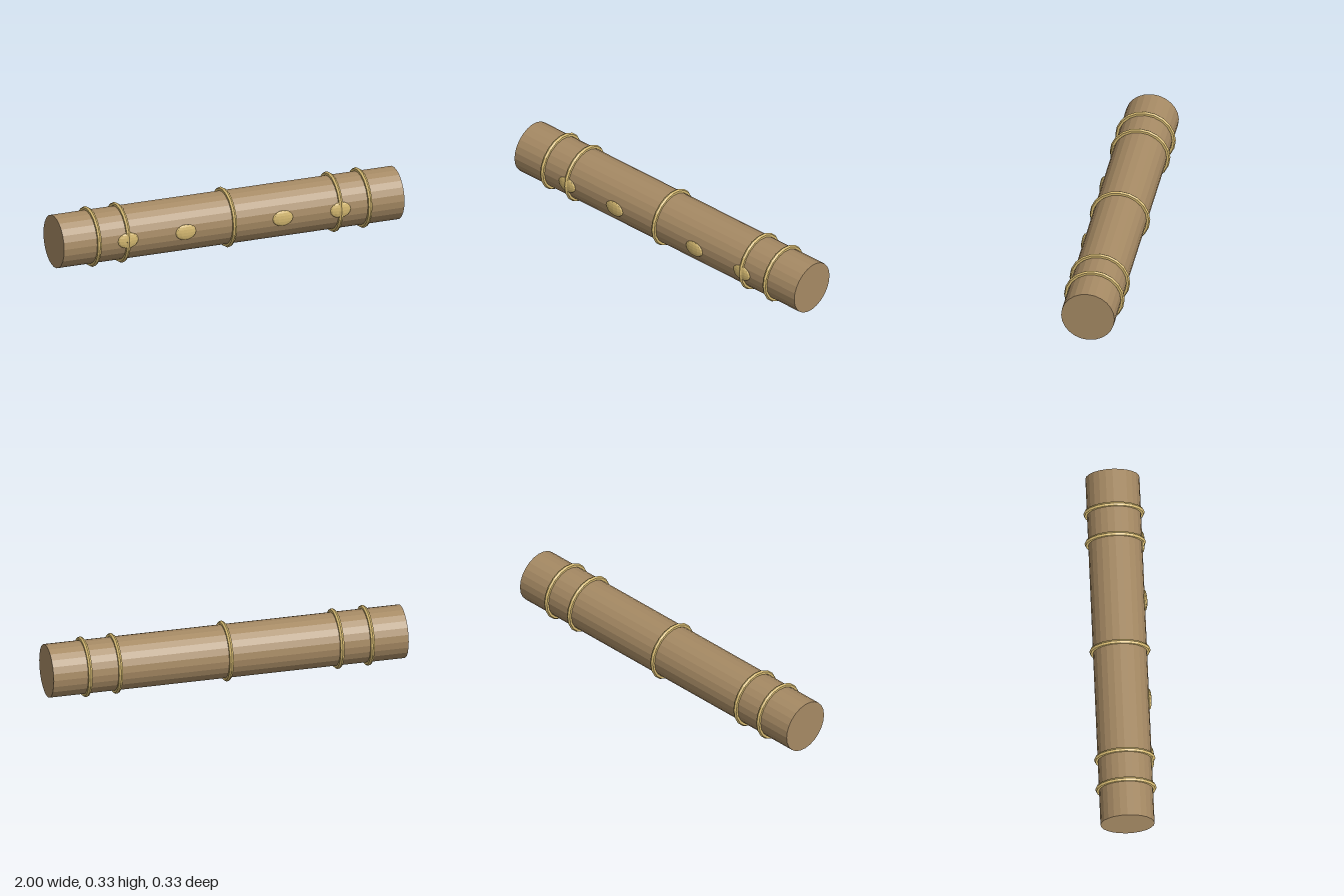
import * as THREE from 'three';

export function createModel() {
  const group = new THREE.Group();
  const wood = new THREE.MeshStandardMaterial({ color: 0xa68a64, flatShading: true });
  const gold = new THREE.MeshStandardMaterial({ color: 0xd4b870, flatShading: true });
  const axisY = 0.167;
  const radius = 0.147;

  const add = (name, geometry, material, x, y, z) => {
    const mesh = new THREE.Mesh(geometry, material);
    mesh.name = name;
    mesh.position.set(x, y, z);
    group.add(mesh);
  };

  // Long round body lying along x
  const body = new THREE.CylinderGeometry(radius, radius, 2, 24).rotateZ(Math.PI / 2);
  add('body', body, wood, 0, axisY, 0);

  // Thin bands around the body, with a corner at the top
  const band = new THREE.TorusGeometry(0.1545, 0.0125, 6, 20).rotateY(Math.PI / 2);
  for (const x of [-0.795, -0.624, 0, 0.624, 0.795]) add('band', band, gold, x, axisY, 0);

  // Flattened oval studs along the front
  const stud = new THREE.SphereGeometry(1, 12, 8).scale(0.06, 0.045, 0.0135);
  for (const x of [-0.624, -0.285, 0.285, 0.624]) add('stud', stud, gold, x, axisY + 0.003, radius);

  return group;
}
